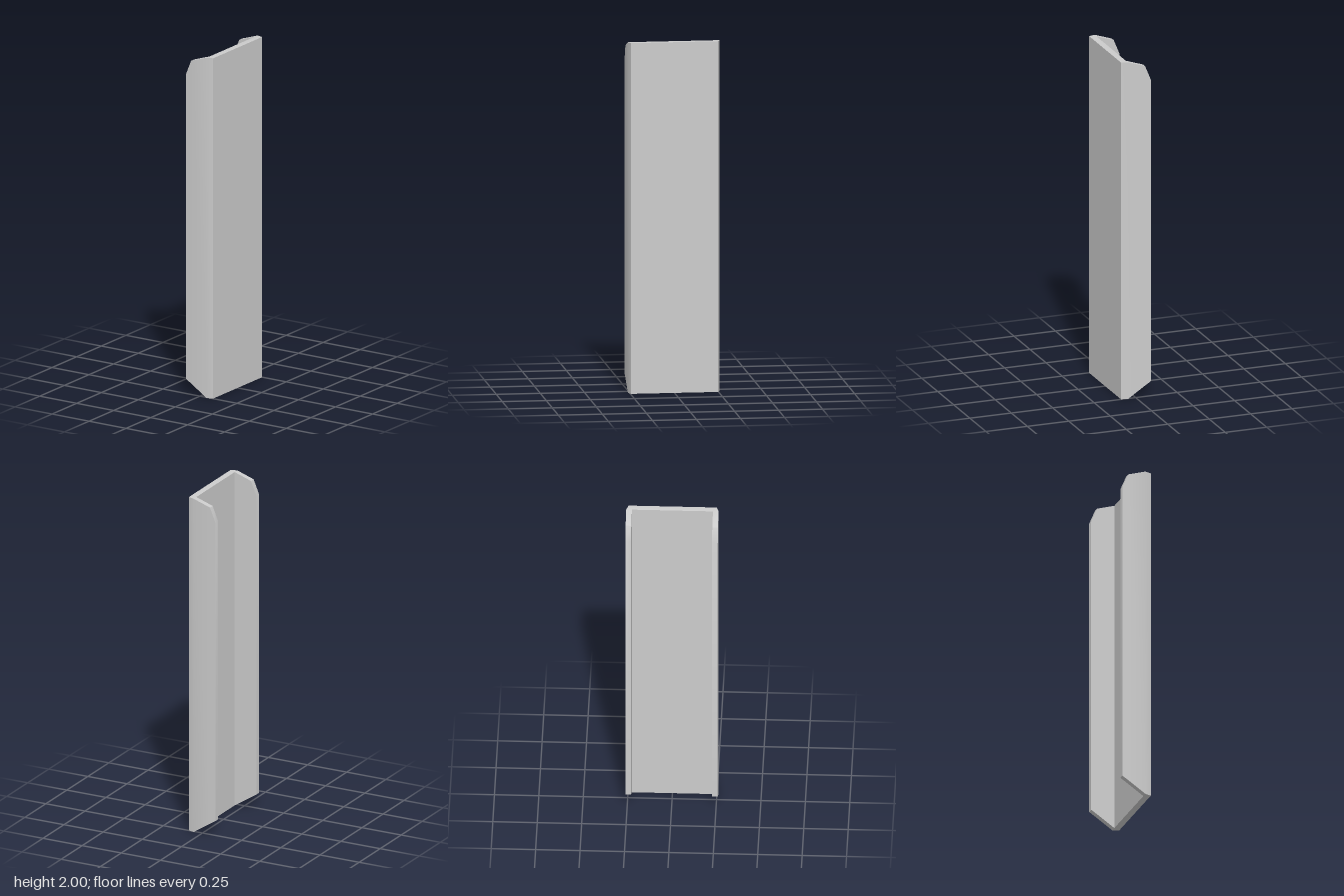
import * as THREE from 'three';
import { toCreasedNormals } from 'three/addons/utils/BufferGeometryUtils.js';

// Outer/inner [x, z] pairs of one flange, from free tip to web corner, with its end heights
const HALF = [
  { out: [-0.088, 0.26], inn: [-0.088, 0.228], low: 0.09, high: 1.88 },
  { out: [-0.053, 0.26], inn: [-0.053, 0.228], low: 0.068, high: 1.965 },
  { out: [0.051, 0.26], inn: [0.051, 0.228], low: 0, high: 2 },
  { out: [0.088, 0.248], inn: [0.051, 0.228], low: 0, high: 2 },
];

function channelGeometry() {
  const flip = ([x, z]) => [x, -z];
  const back = HALF.map((s) => ({ ...s, out: flip(s.out), inn: flip(s.inn) }));
  const stations = [...back, ...[...HALF].reverse()].map(({ out, inn, low, high }) => {
    const at = ([x, z], y) => new THREE.Vector3(x, y, z);
    return { oB: at(out, low), oT: at(out, high), iB: at(inn, low), iT: at(inn, high) };
  });

  const positions = [];
  const tri = (a, b, c) => {
    if (new THREE.Triangle(a, b, c).getArea() < 1e-8) return;
    for (const p of [a, b, c]) positions.push(p.x, p.y, p.z);
  };
  const quad = (a, b, c, d) => {
    tri(a, b, c);
    tri(a, c, d);
  };

  // Walls and end faces between neighbouring stations
  for (let i = 0; i < stations.length - 1; i++) {
    const a = stations[i], b = stations[i + 1];
    quad(a.oB, a.oT, b.oT, b.oB);
    quad(a.iB, b.iB, b.iT, a.iT);
    quad(a.oT, a.iT, b.iT, b.oT);
    quad(a.oB, b.oB, b.iB, a.iB);
  }

  // Free edges of the two flanges
  const first = stations[0], last = stations[stations.length - 1];
  quad(first.oB, first.iB, first.iT, first.oT);
  quad(last.oB, last.oT, last.iT, last.iB);

  const geometry = new THREE.BufferGeometry();
  geometry.setAttribute('position', new THREE.Float32BufferAttribute(positions, 3));
  return toCreasedNormals(geometry, 0.5);
}

export function createModel() {
  const group = new THREE.Group();
  group.name = 'coverChannel';
  const channel = new THREE.Mesh(
    channelGeometry(),
    new THREE.MeshStandardMaterial({ color: 0xcccccc }),
  );
  channel.name = 'channel';
  group.add(channel);
  return group;
}
